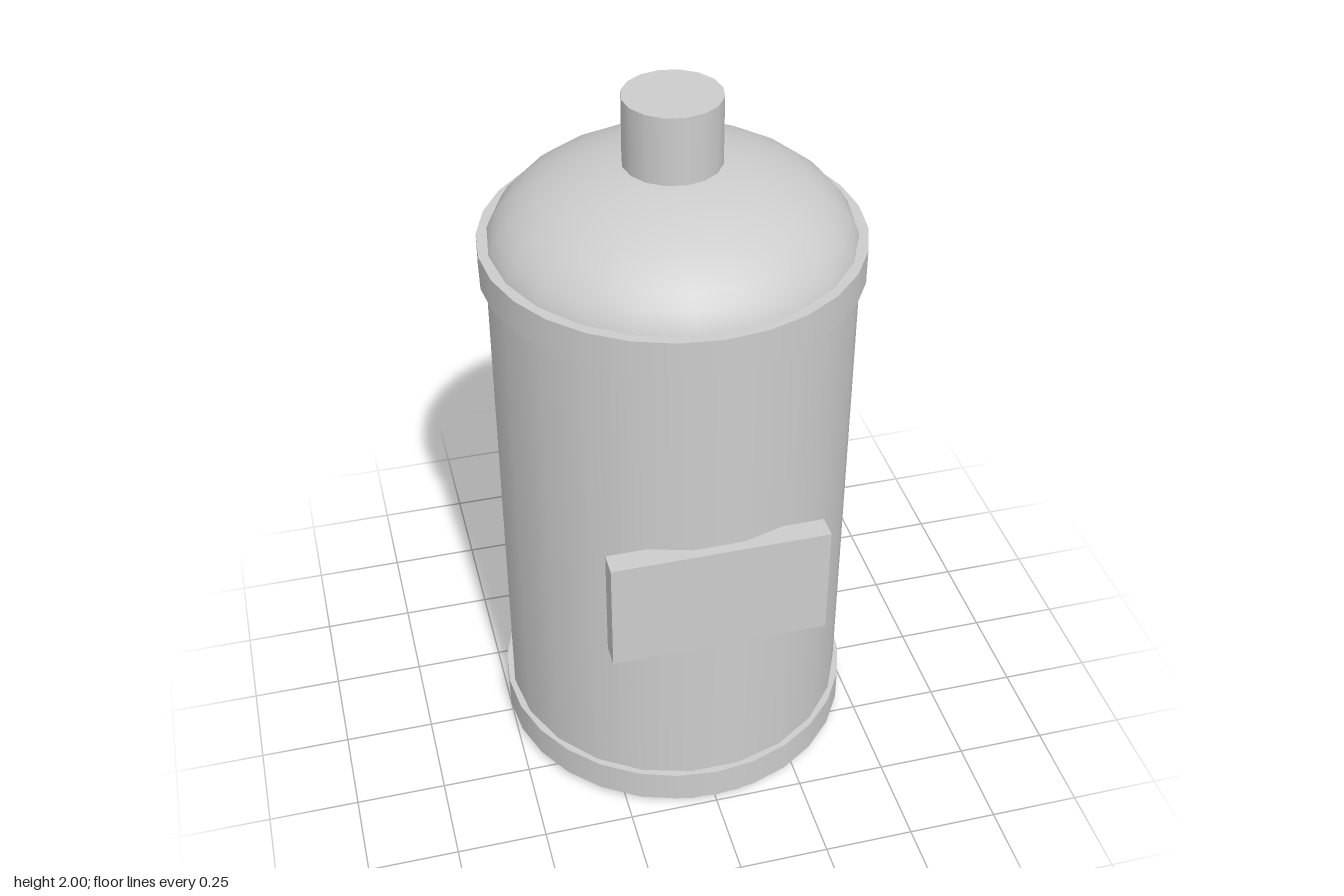
import * as THREE from 'three';

export function createModel() {
  const group = new THREE.Group();
  const grey = new THREE.MeshStandardMaterial({ color: 0xcccccc });
  grey.name = 'light grey';
  const axisZ = -0.007; // the tank sits slightly behind centre to balance the plate

  function add(name, geometry, y, z = axisZ) {
    const mesh = new THREE.Mesh(geometry, grey);
    mesh.name = name;
    mesh.position.set(0, y, z);
    group.add(mesh);
  }

  // upright cylinder between two heights
  function drum(name, radius, bottom, top, sides, start = 0) {
    const geometry = new THREE.CylinderGeometry(radius, radius, top - bottom, sides, 1, false, start);
    add(name, geometry, (bottom + top) / 2);
  }

  // tank body, with corners on the x axis
  const sides = 22, halfStep = Math.PI / sides;
  const bodyRadius = 0.487, shoulder = 1.56;
  drum('tankBody', bodyRadius, 0, shoulder, sides, halfStep);

  // domed top: quarter ellipse turned around the axis
  const profile = [];
  for (let i = 0; i <= 12; i++) {
    const a = (i / 12) * Math.PI / 2;
    profile.push(new THREE.Vector2(i === 12 ? 0 : bodyRadius * Math.cos(a), 0.265 * Math.sin(a)));
  }
  add('domedTop', new THREE.LatheGeometry(profile, sides, halfStep), shoulder);

  // bands around the foot and shoulder
  drum('lowerBand', 0.503, 0.02, 0.115, 28);
  drum('upperBand', 0.503, 1.515, 1.61, 28);

  // outlet neck
  drum('neck', 0.129, 1.78, 2, 16);

  // flat plate on the front
  add('frontPlate', new THREE.BoxGeometry(0.588, 0.325, 0.063), 0.787, 0.473);

  return group;
}
